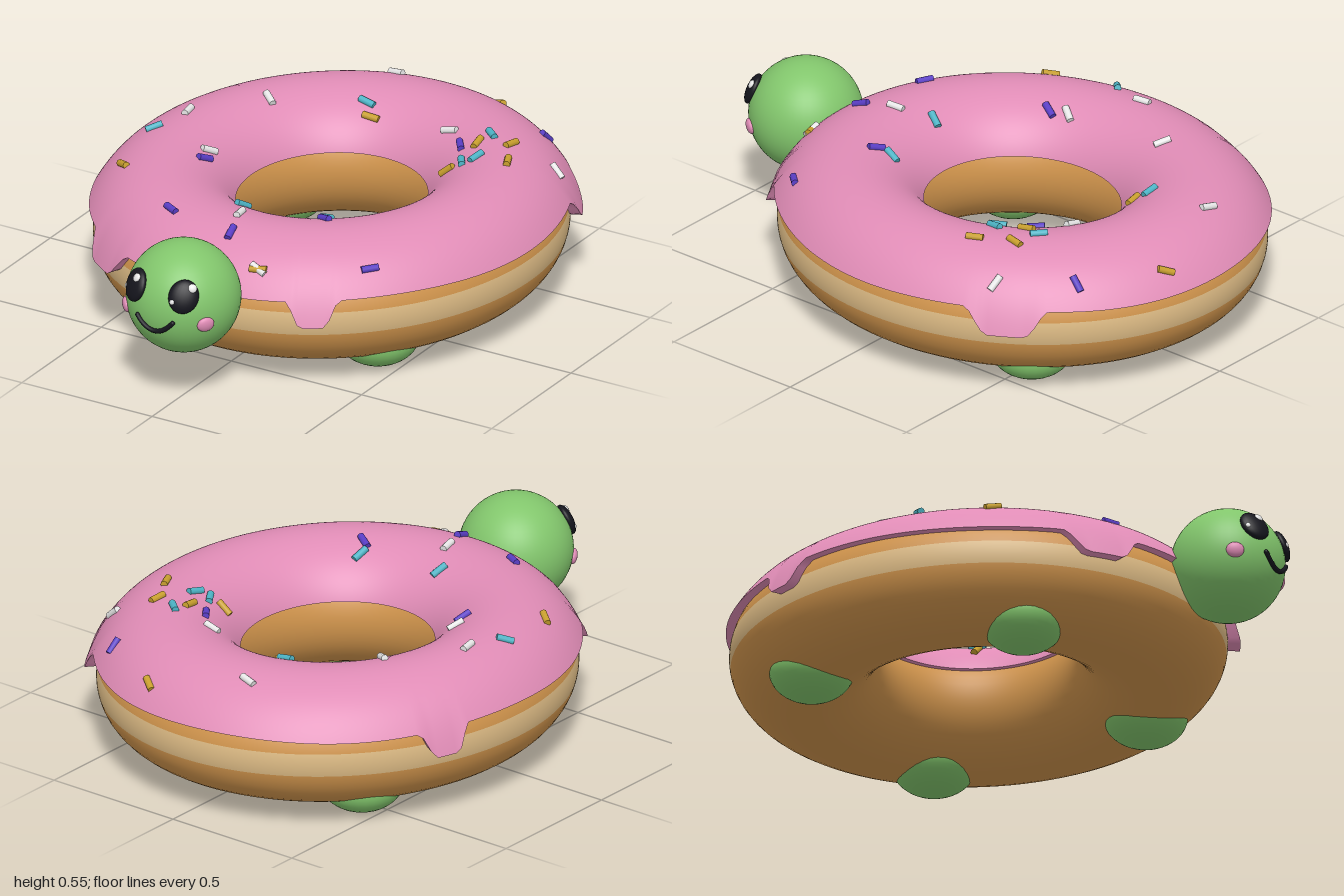
import * as THREE from 'three';
import { ParametricGeometry } from 'three/addons/geometries/ParametricGeometry.js';

const CX = -0.007, CY = 0.255, CZ = -0.145; // ring centre
const RING = 0.535, STRETCH = 1.09;         // ring radius and its stretch along z
const HEAD = new THREE.Vector3(-0.008, 0.355, 0.788), HEAD_R = 0.19;

const mat = (name, color) => new THREE.MeshStandardMaterial({ name, color });

export function createModel() {
  const model = new THREE.Group();
  model.name = 'donutTurtle';
  const M = {
    icing: mat('icingPink', 0xe08cb6), dough: mat('doughBrown', 0xd0944c),
    band: mat('paleDough', 0xdcba84), skin: mat('skinGreen', 0x82c66c),
    black: mat('black', 0x15151d), white: mat('white', 0xececec),
    teal: mat('teal', 0x4db4c6), gold: mat('gold', 0xc9a02e), purple: mat('purple', 0x5a3ec6),
  };
  const add = (name, geo, material, parent = model) => {
    const mesh = new THREE.Mesh(geo, material);
    mesh.name = name;
    parent.add(mesh);
    return mesh;
  };

  // Surface swept round the stretched ring; section(t, v) returns [outward, up]
  const sweep = (section, rows) => new ParametricGeometry((u, v, p) => {
    const t = u * Math.PI * 2, [a, b] = section(t, v);
    const r = RING + a;
    p.set(CX + r * Math.cos(t), CY + b, CZ + r * Math.sin(t) * STRETCH);
  }, 240, rows);

  // Dough ring with a pale band round the outside
  const BAND = 0.19;
  const arc = (from, to) => (t, v) => {
    const f = from + (to - from) * v;
    return [0.23 * Math.cos(f), 0.21 * Math.sin(f)];
  };
  add('dough', sweep(arc(Math.PI * 2 - BAND, BAND), 44), M.dough);
  add('paleBand', sweep(arc(BAND, -BAND), 6), M.band);

  // Icing edge with drips: [angle, half width] in degrees
  const drips = [[124, 10], [61, 6.5], [-34, 10], [203, 6.5]];
  const dripAt = (t) => {
    let d = 0;
    for (const [angle, half] of drips) {
      const off = Math.abs(((t * 180 / Math.PI - angle + 900) % 360) - 180);
      d = Math.max(d, 1 - THREE.MathUtils.smoothstep(off, half * 0.4, half));
    }
    return d;
  };
  const INNER = Math.PI - 0.36;
  const icing = (t, v) => {
    const drip = dripAt(t);
    const edgeY = 0.087 - 0.083 * drip - 0.004 * Math.sin(5 * t + 1);
    const f = INNER + (Math.asin(edgeY / 0.24) - INNER) * v;
    const flare = (0.014 + 0.012 * drip) * Math.pow(v, 8);
    return [0.243 * Math.cos(f) + flare, 0.24 * Math.sin(f)];
  };
  add('icing', sweep(icing, 48), M.icing);
  add('icingOuterLip', sweep((t, v) => {
    const [a, b] = icing(t, 1);
    return [a - 0.06 * v, b + 0.004 * v];
  }, 2), M.icing);
  add('icingInnerLip', sweep((t, v) => {
    const [a, b] = icing(t, 0);
    return [a + 0.04 * (1 - v), b];
  }, 2), M.icing);

  // Feet
  for (const x of [-0.425, 0.411]) for (const z of [-0.54, 0.25]) {
    const foot = add(z > 0 ? 'frontFoot' : 'backFoot', new THREE.SphereGeometry(1, 32, 20), M.skin);
    foot.position.set(x, 0.1, z);
    foot.scale.set(0.14, 0.1, 0.14);
  }

  // Head
  const head = new THREE.Group();
  head.name = 'head';
  head.position.copy(HEAD);
  model.add(head);
  add('headBall', new THREE.SphereGeometry(HEAD_R, 48, 32), M.skin, head);

  const onHead = (x, y, lift = 0) => {
    const p = new THREE.Vector3(x, y, Math.sqrt(HEAD_R ** 2 - x * x - y * y));
    return p.setLength(HEAD_R + lift);
  };
  const blob = (name, x, y, lift, size, material, tilt = 0) => {
    const holder = new THREE.Group();
    holder.name = name;
    holder.position.copy(onHead(x, y, lift));
    holder.lookAt(holder.position.clone().multiplyScalar(2));
    const ball = add(name + 'Ball', new THREE.SphereGeometry(1, 24, 16), material, holder);
    ball.scale.set(...size);
    ball.rotation.z = tilt;
    head.add(holder);
  };
  for (const s of [-1, 1]) {
    const side = s > 0 ? 'left' : 'right';
    blob(side + 'Eye', s * 0.091, 0.074, 0, [0.05, 0.057, 0.022], M.black, -s * 0.3);
    blob(side + 'EyeShine', s * 0.091 + 0.016, 0.096, 0.018, [0.015, 0.015, 0.008], M.white);
    blob(side + 'EyeGlint', s * 0.091 - 0.028, 0.058, 0.015, [0.009, 0.009, 0.006], M.white);
    blob(side + 'Cheek', s * 0.152, -0.027, 0, [0.03, 0.026, 0.014], M.icing);
  }

  // Smiling mouth
  const smile = [];
  for (let i = -4; i <= 4; i++) smile.push(onHead(i * 0.0165, -0.056 + 0.04 * (i / 4) ** 2, 0.003));
  add('mouth', new THREE.TubeGeometry(new THREE.CatmullRomCurve3(smile), 32, 0.008, 10), M.black, head);
  for (const end of [smile[0], smile[8]]) {
    add('mouthCorner', new THREE.SphereGeometry(0.008, 12, 8), M.black, head).position.copy(end);
  }

  // Sprinkles: x, z, heading in degrees
  const sprinkles = {
    gold: [[0.17, -0.91, -55], [-0.1, -0.545, 0], [0.355, -0.47, -85], [0.46, -0.508, 82],
      [0.52, -0.387, -65], [0.323, -0.333, 15], [-0.582, 0.223, -28], [0.17, 0.609, 20]],
    white: [[-0.164, -0.81, -15], [0.206, -0.54, 5], [0.608, -0.55, 10], [-0.407, -0.408, -35],
      [-0.577, -0.175, -80], [-0.397, -0.01, 50], [-0.021, 0.413, -80], [0.17, 0.609, -25]],
    teal: [[-0.138, -0.583, -8], [0.37, -0.535, -40], [0.407, -0.376, 75], [0.365, -0.355, -55],
      [-0.619, -0.032, 40], [-0.08, 0.297, 70], [0.206, 0.238, 88]],
    purple: [[0.44, -0.758, 65], [0.296, -0.461, -55], [-0.376, 0.053, 60], [0.228, 0.286, -30],
      [-0.244, 0.477, -28], [0.016, 0.53, -82], [0.482, 0.419, 50]],
  };
  const stick = new THREE.CylinderGeometry(0.012, 0.012, 0.058, 10).rotateZ(-Math.PI / 2);
  for (const [colour, list] of Object.entries(sprinkles)) {
    for (const [x, z, deg] of list) {
      const dx = x - CX, dz = (z - CZ) / STRETCH, rho = Math.hypot(dx, dz);
      const k = THREE.MathUtils.clamp((rho - RING) / 0.243, -0.93, 0.93);
      const up = Math.sqrt(1 - k * k), a = deg * Math.PI / 180;
      const normal = new THREE.Vector3(k * dx / rho, up, k * dz / rho).normalize();
      const along = new THREE.Vector3(Math.cos(a), 0, -Math.sin(a)).projectOnPlane(normal).normalize();
      const sprinkle = add(colour + 'Sprinkle', stick, M[colour]);
      sprinkle.position.set(x, CY + 0.24 * up, z).addScaledVector(normal, 0.004);
      sprinkle.quaternion.setFromRotationMatrix(
        new THREE.Matrix4().makeBasis(along, normal, along.clone().cross(normal)));
    }
  }
  return model;
}
